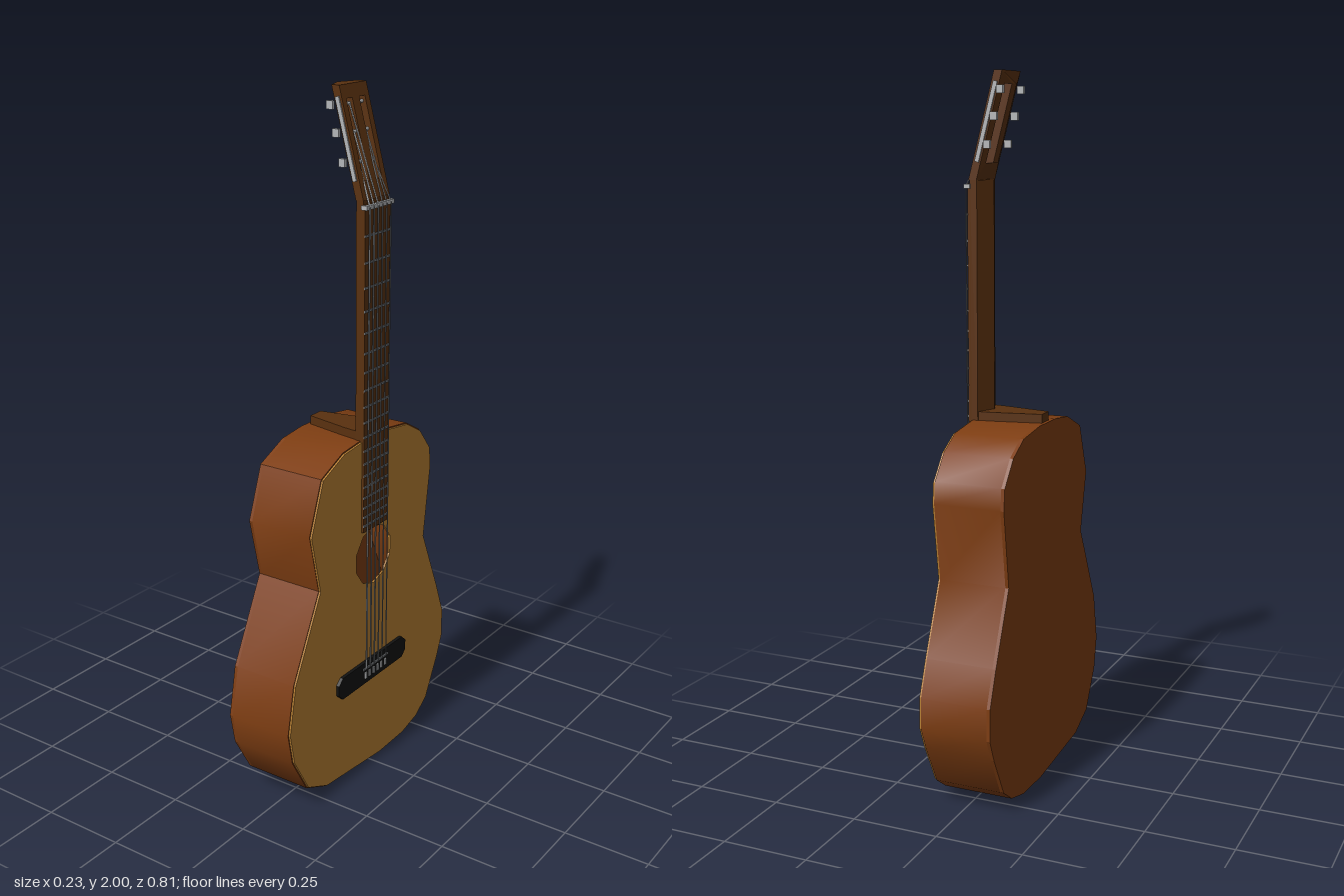
import * as THREE from 'three';
import { toCreasedNormals } from 'three/addons/utils/BufferGeometryUtils.js';

const mat = (name, color) => Object.assign(new THREE.MeshStandardMaterial({ color }), { name });
const CX = 0.005; // centre line of neck and strings

export function createModel() {
  const sideWood = mat('reddish brown wood', 0x7d3d12);
  const topWood = mat('golden soundboard wood', 0xb88033);
  const neckWood = mat('dark neck wood', 0x5a310f);
  const black = mat('black bridge', 0x121212);
  const silver = mat('silver metal', 0xb4b6b8);
  const fretGrey = mat('grey fret metal', 0x74777a);

  // Built facing +z, then turned so that the soundboard faces +x
  const guitar = new THREE.Group();
  guitar.name = 'guitar';
  guitar.rotation.y = Math.PI / 2;

  const add = (name, geo, material, x = 0, y = 0, z = 0) => {
    const m = new THREE.Mesh(geo, material);
    m.name = name;
    m.position.set(x, y, z);
    guitar.add(m);
    return m;
  };
  const box = (name, w, h, d, material, x, y, z) =>
    add(name, new THREE.BoxGeometry(w, h, d), material, x, y, z);
  const shapeOf = pts => new THREE.Shape(pts.map(p => new THREE.Vector2(p[0], p[1])));
  const pathOf = pts => new THREE.Path(pts.map(p => new THREE.Vector2(p[0], p[1])));
  const extrude = (shape, depth) =>
    new THREE.ExtrudeGeometry(shape, { depth, bevelEnabled: false });
  const rod = (name, a, b, r, material) => {
    const dir = b.clone().sub(a);
    const m = add(name, new THREE.CylinderGeometry(r, r, dir.length(), 5), material);
    m.position.copy(a).add(b).multiplyScalar(0.5);
    m.quaternion.setFromUnitVectors(new THREE.Vector3(0, 1, 0), dir.normalize());
  };

  // Body outline
  const outline = [
    [-0.05, 1.045], [-0.14, 1.035], [-0.24, 0.99], [-0.295, 0.84], [-0.255, 0.665],
    [-0.375, 0.425], [-0.403, 0.28], [-0.385, 0.185], [-0.32, 0.07], [-0.23, 0.028],
    [0.05, 0], [0.18, 0.004], [0.26, 0.025], [0.315, 0.065], [0.378, 0.185], [0.405, 0.25],
    [0.403, 0.34], [0.365, 0.44], [0.28, 0.64], [0.312, 0.86], [0.306, 0.92],
    [0.25, 0.99], [0.18, 1.03], [0.07, 1.045],
  ];
  const inset = k => outline.map(([x, y]) => [x * k, 0.52 + (y - 0.52) * k]);

  // Hollow body: sides, back and soundboard with sound hole
  const sides = shapeOf(outline);
  sides.holes.push(pathOf(inset(0.97)));
  add('bodySides', toCreasedNormals(extrude(sides, 0.195), 0.62), sideWood, 0, 0, -0.105);
  add('bodyBack', extrude(shapeOf(outline), 0.01), sideWood, 0, 0, -0.115);
  const board = shapeOf(inset(0.993));
  const hole = [];
  for (let i = 0; i < 10; i++) {
    const a = (i + 0.5) / 10 * Math.PI * 2;
    hole.push([0.007 + 0.09 * Math.cos(a), 0.68 + 0.09 * Math.sin(a)]);
  }
  board.holes.push(pathOf(hole));
  add('soundboard', extrude(board, 0.006), topWood, 0, 0, 0.09);

  // Neck with ridged back; shape is x against -z, raised along y
  const upright = (name, pts, height, y) => {
    const geo = extrude(shapeOf(pts.map(([x, z]) => [x, -z])), height);
    geo.rotateX(-Math.PI / 2);
    add(name, geo, neckWood, CX, y, 0);
  };
  upright('neck', [[0, 0.05], [-0.06, 0.075], [-0.06, 0.097], [0.06, 0.097], [0.06, 0.075]], 0.67, 1.04);
  upright('heel', [[-0.025, -0.105], [-0.052, 0.03], [-0.06, 0.09], [0.06, 0.09], [0.052, 0.03], [0.025, -0.105]], 0.04, 1.03);
  box('fingerboard', 0.12, 0.93, 0.009, neckWood, CX, 1.235, 0.0985);

  // Slotted headstock, ridged behind and leaning back
  const lean = 0.265, headY = 1.71;
  const head = shapeOf([[-0.062, headY], [0, headY], [0.062, headY], [0.062, 2], [0, 2], [-0.062, 2]]);
  for (const s of [-1, 1]) {
    const a = s * 0.016, b = s * 0.042;
    head.holes.push(pathOf([[a, 1.755], [b, 1.755], [b, 1.965], [a, 1.965]]));
  }
  const headGeo = extrude(head, 0.048);
  const p = headGeo.attributes.position;
  for (let i = 0; i < p.count; i++) {
    let z = p.getZ(i) + 0.051;
    if (p.getZ(i) < 0.01) z += 0.024 * Math.abs(p.getX(i)) / 0.062;
    p.setZ(i, z - (p.getY(i) - headY) * lean);
  }
  headGeo.computeVertexNormals();
  add('headstock', headGeo, neckWood, CX);
  const headZ = y => 0.086 - (y - headY) * lean; // middle of the headstock

  // Tuners: side plates, buttons and rollers across the slots
  const tunerY = [1.805, 1.88, 1.95];
  for (const s of [-1, 1]) {
    const plate = box('tunerPlate', 0.004, 0.22, 0.012, silver, CX + s * 0.064, 1.865, headZ(1.865));
    plate.rotation.x = -Math.atan(lean);
    for (const y of tunerY) {
      box('tunerButton', 0.01, 0.022, 0.02, silver, CX + s * 0.07, y, headZ(y) - 0.022);
      const roller = add('tunerRoller', new THREE.CylinderGeometry(0.005, 0.005, 0.03, 6), silver, CX + s * 0.029, y, headZ(y));
      roller.rotation.z = Math.PI / 2;
    }
  }

  // Nut and frets, spaced by the equal tempered rule
  const nutY = 1.693, scale = 1.355;
  box('nut', 0.13, 0.012, 0.018, silver, CX, nutY, 0.103);
  for (let n = 1; n <= 19; n++) {
    box('fret', 0.122, 0.006, 0.004, fretGrey, CX, nutY - scale * (1 - 2 ** (-n / 12)), 0.104);
  }

  // Bridge and saddle
  const bridge = shapeOf([[-0.18, 0.305], [-0.16, 0.287], [0.15, 0.287], [0.17, 0.305],
    [0.17, 0.337], [0.15, 0.355], [-0.16, 0.355], [-0.18, 0.337]]);
  add('bridge', extrude(bridge, 0.011), black, 0, 0, 0.095);
  box('saddle', 0.13, 0.006, 0.006, fretGrey, CX, 0.336, 0.107);

  // Six strings, each with its pin and its run to a roller
  for (let i = 0; i < 6; i++) {
    const x = CX + (i - 2.5) * 0.0205;
    const atNut = new THREE.Vector3(x * 0.98, nutY, 0.112);
    const atSaddle = new THREE.Vector3(x, 0.336, 0.11);
    const s = i < 3 ? -1 : 1;
    const y = tunerY[i < 3 ? i : 5 - i];
    const atRoller = new THREE.Vector3(CX + s * (0.022 + 0.006 * (i < 3 ? 2 - i : i - 3)), y, headZ(y) + 0.005);
    const r = 0.0028 - i * 0.0002;
    rod('string', atSaddle, atNut, r, fretGrey);
    rod('stringEnd', atNut, atRoller, r, silver);
    box('stringPin', 0.008, 0.02, 0.006, silver, x, 0.314, 0.107);
  }

  const model = new THREE.Group();
  model.name = 'classicalGuitar';
  model.add(guitar);
  return model;
}
